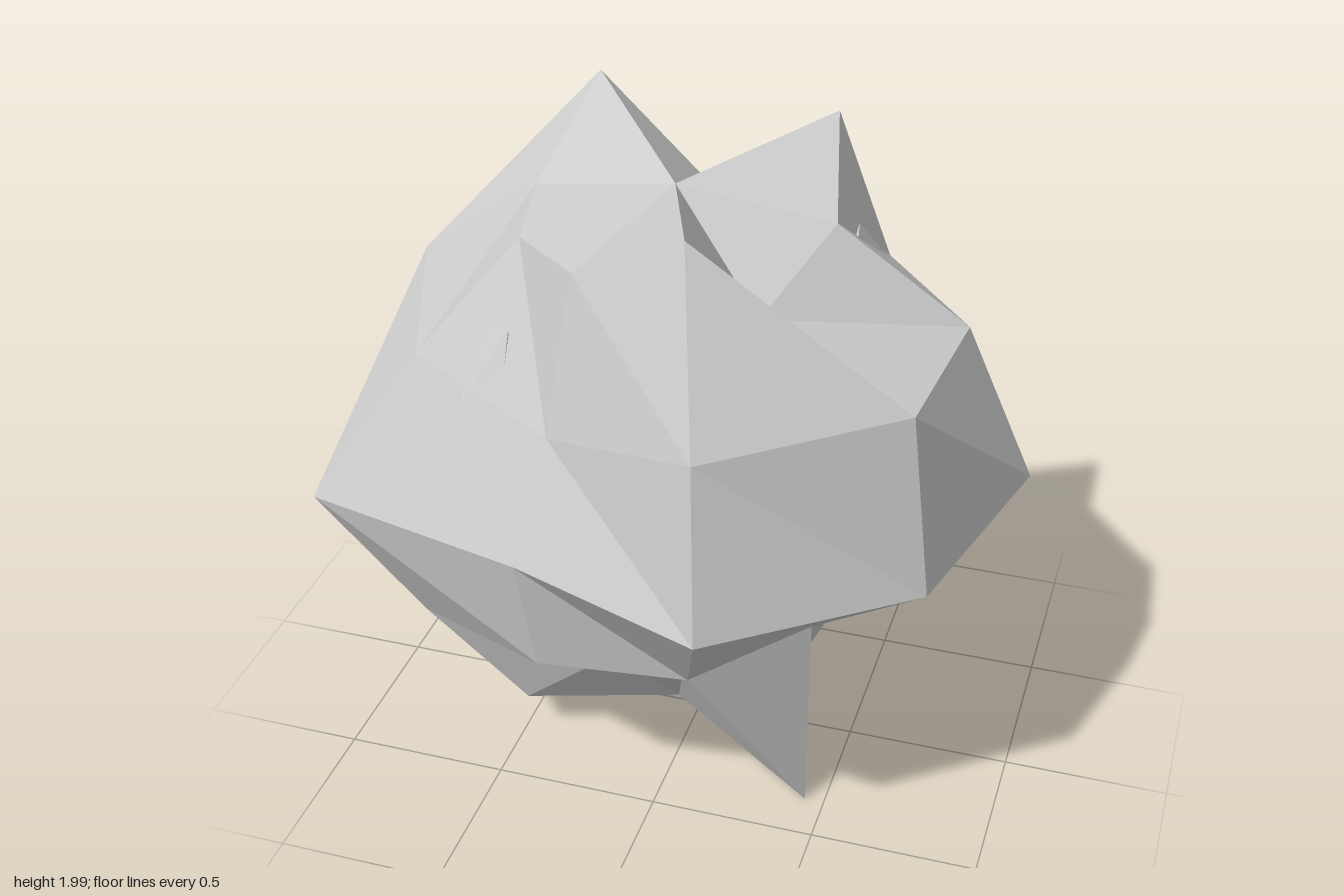
import * as THREE from 'three';
import { ConvexGeometry } from 'three/addons/geometries/ConvexGeometry.js';

// Horizontal radius of every corner, ring by ring from top to bottom.
// Nine corners per ring, starting at the back and going towards +x.
const RINGS = [
  { elevation: 60, radii: [0.395, 0.558, 0.452, 0.338, 0.568, 0.455, 0.441, 0.452, 0.577] },
  { elevation: 30, radii: [0.589, 0.771, 0.836, 0.915, 0.852, 0.58, 0.75, 0.85, 0.935] },
  { elevation: 0, radii: [1.035, 0.898, 1.045, 0.995, 0.961, 0.741, 1.075, 0.874, 1.01] },
  { elevation: -30, radii: [0.725, 0.814, 0.592, 0.575, 0.63, 0.662, 0.78, 0.667, 0.7] },
  { elevation: -60, radii: [0.535, 0.367, 0.405, 0.573, 0.33, 0.325, 0.486, 0.573, 0.38] },
];
const SIDES = 9;
const CENTRE = new THREE.Vector3(-0.055, 1, 0.063);

function rockGeometry() {
  const rings = RINGS.map(({ elevation, radii }) => radii.map((r, k) => {
    const a = (k / SIDES) * Math.PI * 2;
    const y = r * Math.tan(THREE.MathUtils.degToRad(elevation));
    return new THREE.Vector3(Math.sin(a) * r, y, -Math.cos(a) * r).add(CENTRE);
  }));
  const top = new THREE.Vector3(CENTRE.x, 1.878, CENTRE.z);
  const bottom = new THREE.Vector3(CENTRE.x, 0.075, CENTRE.z);
  const last = rings[rings.length - 1];
  const points = [];
  for (let k = 0; k < SIDES; k++) {
    const n = (k + 1) % SIDES;
    points.push(top, rings[0][n], rings[0][k]);
    for (let i = 0; i < rings.length - 1; i++) {
      const up = rings[i], low = rings[i + 1];
      points.push(up[n], low[n], low[k], up[n], low[k], up[k]);
    }
    points.push(bottom, last[k], last[n]);
  }
  const geometry = new THREE.BufferGeometry().setFromPoints(points);
  geometry.computeVertexNormals();
  return geometry;
}

// A small shard: outer corners plus one corner sunk into the rock
const shardGeometry = (corners) =>
  new ConvexGeometry(corners.map((c) => new THREE.Vector3(...c)));

export function createModel() {
  const group = new THREE.Group();
  group.name = 'rock';
  const material = new THREE.MeshStandardMaterial({ color: 0xcccccc, flatShading: true });
  const add = (name, geometry) => {
    const mesh = new THREE.Mesh(geometry, material);
    mesh.name = name;
    group.add(mesh);
  };

  add('boulder', rockGeometry());

  // Chips poking out of the surface
  add('frontChip', shardGeometry([
    [-0.48, 1.55, 0.415], [-0.42, 1.55, 0.437], [-0.415, 1.39, 0.526],
    [-0.53, 1.36, 0.526], [-0.55, 1.4, 0.49], [-0.42, 1.43, 0.35],
  ]));
  add('sideChip', shardGeometry([
    [0.42, 1.68, -0.16], [0.4, 1.675, -0.255], [0.42, 1.6, -0.33],
    [0.43, 1.525, -0.39], [0.474, 1.515, -0.36], [0.3, 1.58, -0.25],
  ]));
  return group;
}
